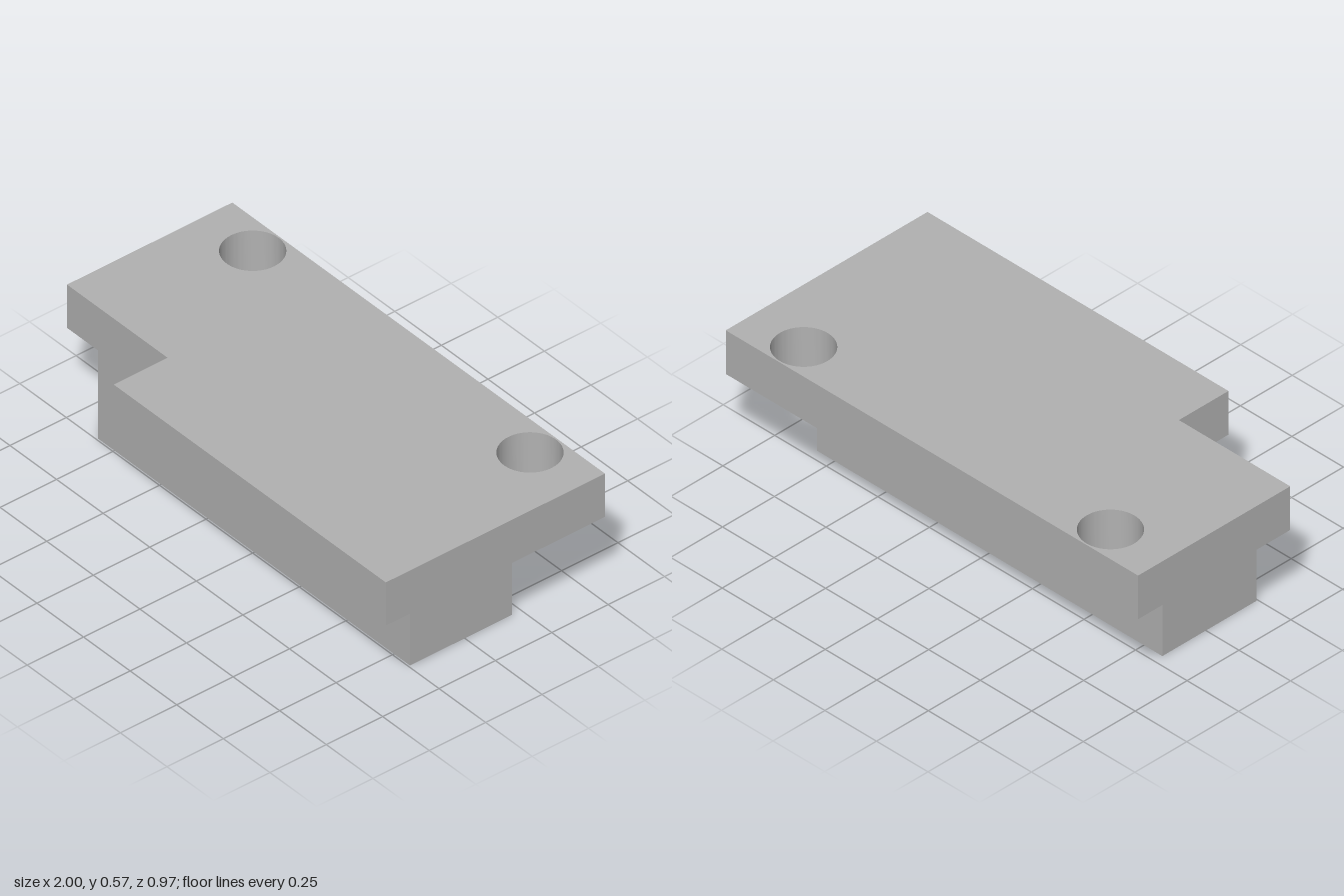
import * as THREE from 'three';
import { toCreasedNormals } from 'three/addons/utils/BufferGeometryUtils.js';

const PLATE_BOTTOM = 0.382;
const PLATE_TOP = 0.567;

export function createModel() {
  const model = new THREE.Group();
  model.name = 'notchedMountingBlock';

  const grey = new THREE.MeshStandardMaterial({ color: 0xb2b2b2 });
  grey.name = 'plain grey';

  // Plate outline (shape y is -z), with a corner notch at the front right
  const outline = new THREE.Shape([
    [-1, -0.247], [-0.46, -0.247], [-0.46, -0.486],
    [1, -0.486], [1, 0.486], [-1, 0.486],
  ].map(([x, y]) => new THREE.Vector2(x, y)));

  // Two round through-holes near the back edge
  for (const side of [-1, 1]) {
    const hole = new THREE.Path();
    hole.absarc(side * 0.744, 0.365, 0.115, 0, Math.PI * 2, true);
    outline.holes.push(hole);
  }

  const plateGeometry = new THREE.ExtrudeGeometry(outline, {
    depth: PLATE_TOP - PLATE_BOTTOM, bevelEnabled: false, curveSegments: 48,
  });
  plateGeometry.rotateX(-Math.PI / 2);
  const plate = new THREE.Mesh(toCreasedNormals(plateGeometry, Math.PI / 6), grey);
  plate.name = 'topPlate';
  plate.position.y = PLATE_BOTTOM;
  model.add(plate);

  // Solid block under the plate, set slightly forward of centre
  const block = new THREE.Mesh(new THREE.BoxGeometry(1.675, PLATE_BOTTOM, 0.453), grey);
  block.name = 'lowerBlock';
  block.position.set(-0.002, PLATE_BOTTOM / 2, 0.0165);
  model.add(block);

  return model;
}
